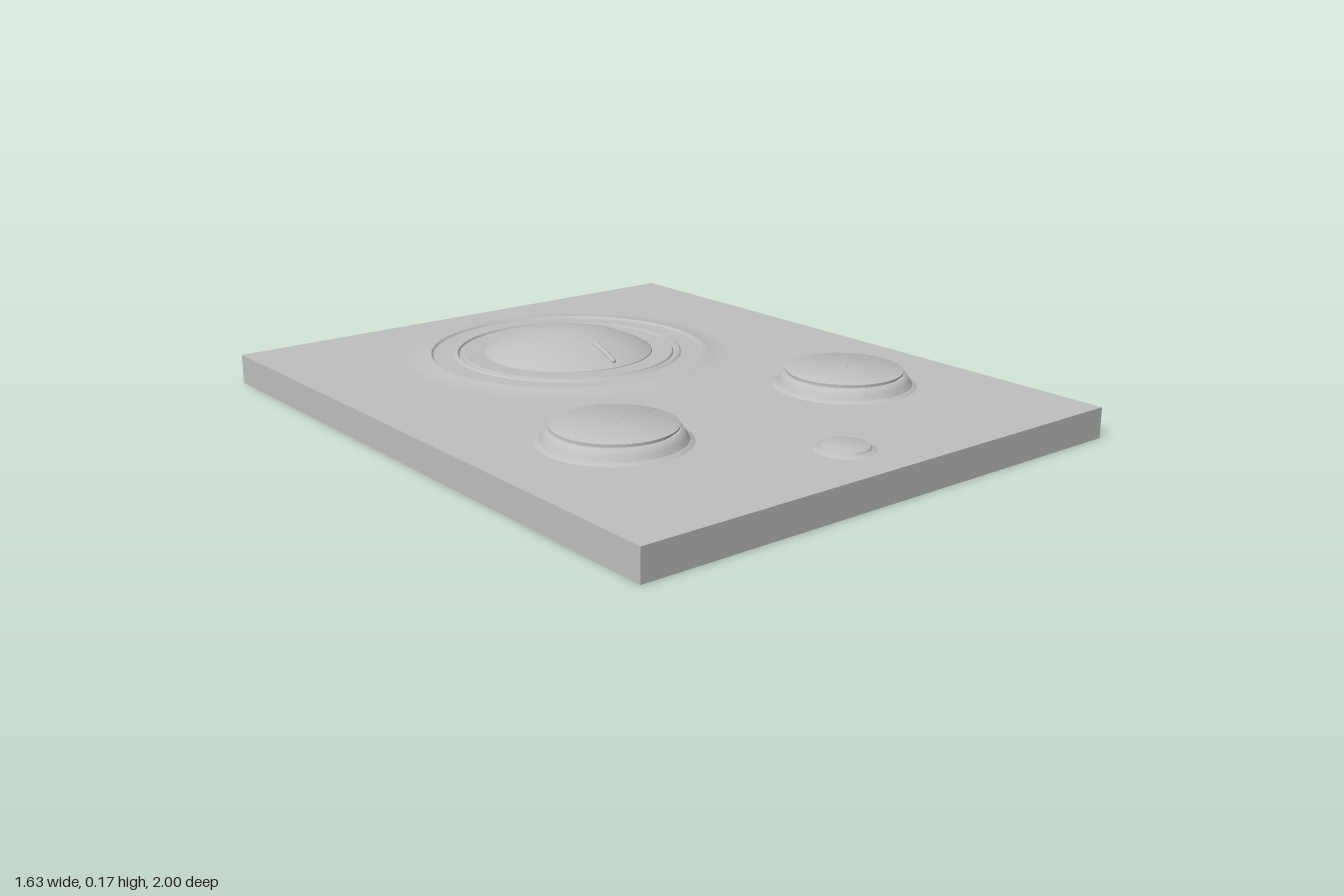
import * as THREE from 'three';
import { toCreasedNormals } from 'three/addons/utils/BufferGeometryUtils.js';

const TOP = 0.09;
const DIAL_Z = -0.4;

export function createModel() {
  const group = new THREE.Group();
  const grey = new THREE.MeshStandardMaterial({ color: 0xbfbfbf });
  grey.name = 'plain grey';

  const add = (name, geometry, x = 0, y = 0, z = 0) => {
    const mesh = new THREE.Mesh(geometry, grey);
    mesh.name = name;
    mesh.position.set(x, y, z);
    group.add(mesh);
    return mesh;
  };
  // Turned part; profile runs from the outer edge to the centre for upward faces
  const turned = (profile, segments = 96) => toCreasedNormals(
    new THREE.LatheGeometry(profile.map(([r, y]) => new THREE.Vector2(r, y)), segments), 0.5);

  // Base plate, open beneath the dial for the shallow hollow
  const outline = new THREE.Shape();
  outline.moveTo(-0.815, -1).lineTo(0.815, -1).lineTo(0.815, 1).lineTo(-0.815, 1).closePath();
  const hole = new THREE.Path();
  hole.absarc(0, -DIAL_Z, 0.25, 0, Math.PI * 2, true);
  outline.holes.push(hole);
  const plate = new THREE.ExtrudeGeometry(outline, { depth: TOP, bevelEnabled: false, curveSegments: 48 });
  plate.rotateX(-Math.PI / 2);
  add('basePlate', plate);

  // Hollow on the underside, facing down
  add('undersideHollow', turned([
    [0, 0.022], [0.16, 0.02], [0.185, 0.016], [0.21, 0.007], [0.23, 0.002], [0.25, 0],
  ]), 0, 0, DIAL_Z);

  // Low swell with two raised lips around the dial
  add('dialSurround', turned([
    [0.5, 0.09], [0.47, 0.092], [0.445, 0.096], [0.432, 0.1], [0.424, 0.1], [0.418, 0.094],
    [0.4, 0.093], [0.355, 0.094], [0.348, 0.099], [0.342, 0.099], [0.338, 0.093],
    [0.33, 0.093], [0.326, 0.098], [0.29, 0.097], [0.272, 0.096], [0.24, 0.096],
  ]), 0, 0, DIAL_Z);

  // Domed dial
  const dome = [
    [0.265, 0.092], [0.262, 0.099], [0.25, 0.106], [0.22, 0.12], [0.18, 0.136],
    [0.13, 0.15], [0.07, 0.161], [0, 0.165],
  ];
  add('dialDome', turned(dome), 0, 0, DIAL_Z);

  // Pointer following the front slope of the dome
  const path = new THREE.CatmullRomCurve3([
    [0.15, 0.143], [0.18, 0.134], [0.21, 0.123], [0.238, 0.11],
  ].map(([r, y]) => new THREE.Vector3(0, y + 0.002, r)));
  add('dialPointer', new THREE.TubeGeometry(path, 16, 0.009, 10), -0.004, 0, DIAL_Z);
  for (const t of [0, 1]) {
    const p = path.getPoint(t);
    add('pointerEnd', new THREE.SphereGeometry(0.009, 12, 8), -0.004, p.y, DIAL_Z + p.z);
  }

  // Pair of round knobs with flared skirts and undercut caps
  for (const side of [-1, 1]) {
    add('knob', turned([
      [0.21, 0], [0.205, 0.004], [0.197, 0.007], [0.189, 0.02], [0.182, 0.031], [0.173, 0.036],
      [0.165, 0.036], [0.165, 0.04], [0.171, 0.041], [0.171, 0.046], [0.165, 0.049], [0, 0.049],
    ]), side * 0.42, TOP, 0.39);
    add('knobCentreMark', new THREE.CylinderGeometry(0.007, 0.009, 0.002, 8), side * 0.42, TOP + 0.05, 0.39);
  }

  // Small push button
  add('pushButton', turned([
    [0.083, 0], [0.078, 0.003], [0.07, 0.005], [0.066, 0.011], [0.058, 0.014], [0, 0.015],
  ], 48), 0, TOP, 0.81);

  return group;
}
